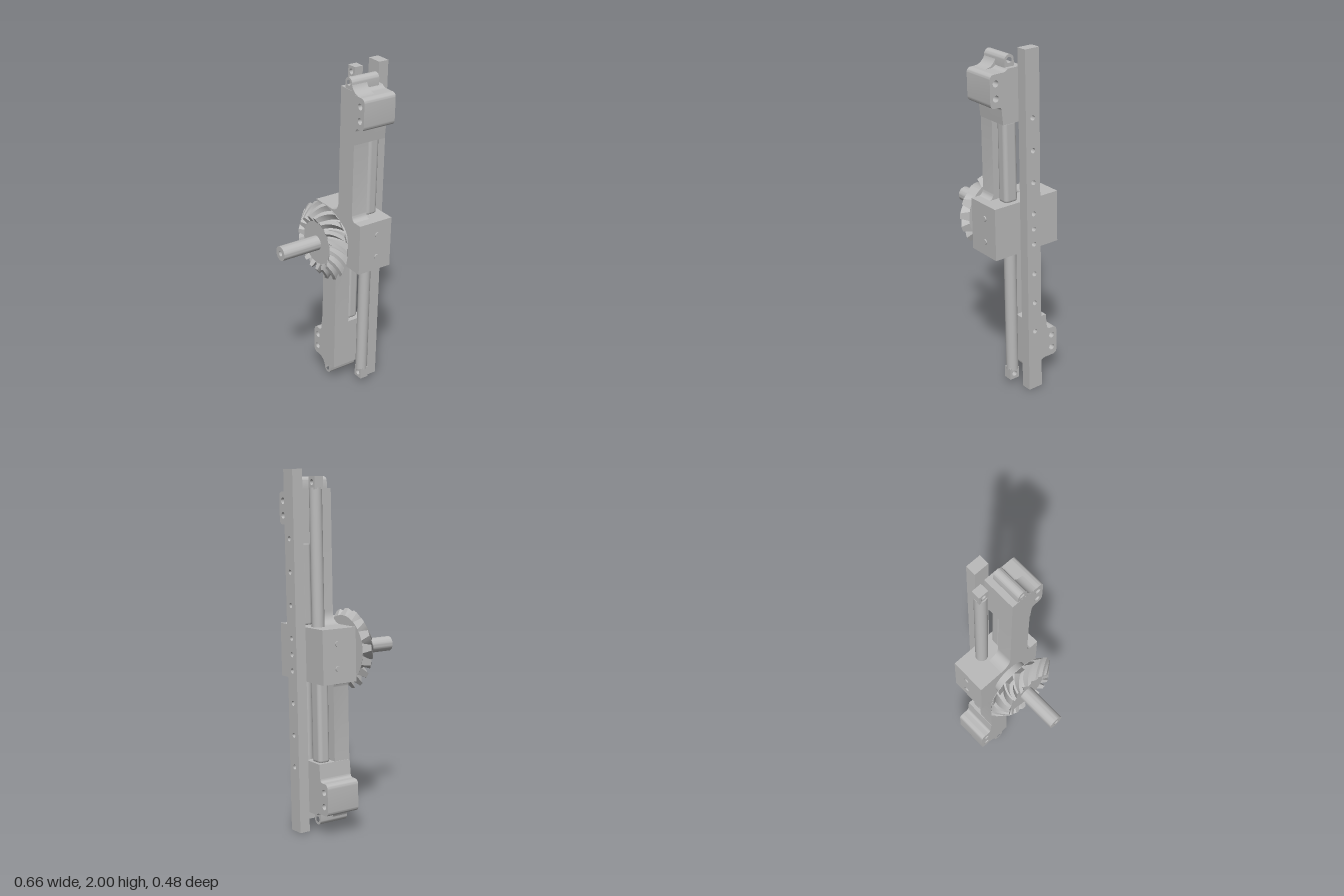
import * as THREE from 'three';
import { toCreasedNormals } from 'three/addons/utils/BufferGeometryUtils.js';
import { RoundedBoxGeometry } from 'three/addons/geometries/RoundedBoxGeometry.js';

const steel = new THREE.MeshStandardMaterial({ color: 0xbbbbbb });
steel.name = 'steel grey';

function add(parent, name, geometry, x = 0, y = 0, z = 0) {
  const mesh = new THREE.Mesh(geometry, steel);
  mesh.name = name;
  mesh.position.set(x, y, z);
  parent.add(mesh);
  return mesh;
}

// Side profile drawn in (-z, y), extruded along x from x0 to x1
function sideExtrude(shape, x0, x1) {
  const g = new THREE.ExtrudeGeometry(shape, { depth: x1 - x0, bevelEnabled: false, curveSegments: 10 });
  g.rotateY(Math.PI / 2).translate(x0, 0, 0);
  return toCreasedNormals(g, 0.6);
}

function punch(shape, u, y, r) {
  shape.holes.push(new THREE.Path().absarc(u, y, r, 0, Math.PI * 2, true));
}

// Revolve [x, radius] points about the x axis; the outer surface runs towards +x
function revolve(points, segments = 48) {
  const g = new THREE.LatheGeometry(points.map(([x, r]) => new THREE.Vector2(r, x)), segments);
  g.rotateZ(-Math.PI / 2);
  return toCreasedNormals(g, 0.5);
}

// One spiral bevel tooth, lofted from the small end to the large end
function toothGeometry() {
  const steps = 7, pos = [], idx = [];
  const mix = THREE.MathUtils.lerp;
  for (let k = 0; k <= steps; k++) {
    const t = k / steps, twist = 0.3 * t + 0.1 * t * t;
    const root = [mix(-0.09, -0.01, t), mix(0.125, 0.187, t)];
    const tip = [mix(-0.11, -0.045, t), mix(0.155, 0.228, t)];
    for (const [[x, r], a] of [[root, -0.15], [tip, -0.07], [tip, 0.07], [root, 0.15]])
      pos.push(x, r * Math.cos(a + twist), r * Math.sin(a + twist));
    if (k === 0) continue;
    for (let i = 0; i < 4; i++) {
      const j = (i + 1) % 4, p = (k - 1) * 4, q = k * 4;
      idx.push(p + i, p + j, q + j, p + i, q + j, q + i);
    }
  }
  const e = steps * 4;
  idx.push(0, 2, 1, 0, 3, 2, e, e + 1, e + 2, e, e + 2, e + 3);
  const g = new THREE.BufferGeometry();
  g.setAttribute('position', new THREE.Float32BufferAttribute(pos, 3));
  g.setIndex(idx);
  return toCreasedNormals(g, 0.5);
}

// One arm with its head, slide and the rod beside it
function createHalf(name) {
  const half = new THREE.Group();
  half.name = name;

  // Arm plate, flared where it meets the hub
  const plate = new THREE.Shape();
  plate.moveTo(-0.16, 0.14);
  plate.lineTo(0.06, 0.14);
  plate.lineTo(0.06, 0.15);
  plate.quadraticCurveTo(-0.005, 0.155, -0.005, 0.22);
  plate.lineTo(-0.005, 0.61);
  plate.lineTo(-0.133, 0.61);
  plate.lineTo(-0.133, 0.19);
  plate.quadraticCurveTo(-0.135, 0.155, -0.16, 0.15);
  add(half, 'armPlate', sideExtrude(plate, 0.05, 0.148));

  // Head with clamping lug
  const head = new THREE.Shape();
  head.moveTo(-0.005, 0.6);
  head.lineTo(-0.005, 0.895);
  head.lineTo(-0.1, 0.895);
  head.quadraticCurveTo(-0.11, 0.88, -0.135, 0.88);
  head.lineTo(-0.185, 0.88);
  head.quadraticCurveTo(-0.214, 0.88, -0.214, 0.85);
  head.lineTo(-0.214, 0.73);
  head.quadraticCurveTo(-0.214, 0.7, -0.185, 0.7);
  head.lineTo(-0.165, 0.7);
  head.quadraticCurveTo(-0.143, 0.7, -0.143, 0.675);
  head.lineTo(-0.136, 0.6);
  punch(head, -0.178, 0.83, 0.018);
  punch(head, -0.178, 0.75, 0.018);
  add(half, 'armHead', sideExtrude(head, 0.05, 0.253));

  // Eye on top of the head
  const eye = new THREE.Shape();
  eye.moveTo(-0.041, 0.89);
  eye.lineTo(-0.101, 0.89);
  eye.lineTo(-0.101, 0.93);
  eye.absarc(-0.071, 0.93, 0.03, Math.PI, 0, true);
  eye.lineTo(-0.041, 0.89);
  punch(eye, -0.071, 0.93, 0.016);
  add(half, 'headEye', sideExtrude(eye, 0.051, 0.227));

  // Concave saddle blending the eye into the lug
  const saddle = new THREE.Shape();
  saddle.moveTo(-0.095, 0.875);
  saddle.lineTo(-0.095, 0.945);
  saddle.quadraticCurveTo(-0.107, 0.885, -0.165, 0.88);
  saddle.lineTo(-0.165, 0.875);
  add(half, 'headSaddle', sideExtrude(saddle, 0.0505, 0.148));

  // Rounded slide between hub and head
  add(half, 'armSlide', new RoundedBoxGeometry(0.072, 0.47, 0.085, 3, 0.022), 0.2, 0.375, 0.075);

  // Rod and its flat end with a cross hole
  add(half, 'rod', new THREE.CylinderGeometry(0.035, 0.035, 0.77, 24), 0.199, 0.515, -0.07);
  const lug = new THREE.Shape();
  lug.moveTo(0.043, 0.89);
  lug.lineTo(0.103, 0.89);
  lug.lineTo(0.103, 0.96);
  lug.lineTo(0.043, 0.96);
  punch(lug, 0.074, 0.928, 0.016);
  add(half, 'rodEnd', sideExtrude(lug, 0.172, 0.225));

  // Low screw heads on the hub
  for (const y of [-0.068, 0.068])
    add(half, 'screwHead', new THREE.CylinderGeometry(0.016, 0.016, 0.012, 16).rotateX(Math.PI / 2), 0.17, y, 0.213);
  return half;
}

export function createModel() {
  const model = new THREE.Group();
  model.name = 'gearedArmAssembly';
  const body = new THREE.Group();
  body.name = 'tiltedAssembly';
  body.position.y = 1;
  body.rotation.x = 0.029;
  model.add(body);

  // Central hub
  add(body, 'hub', new THREE.BoxGeometry(0.215, 0.3, 0.424), 0.1575);

  // Two identical arms, half a turn apart
  const lower = createHalf('lowerArm');
  lower.rotation.x = Math.PI;
  body.add(createHalf('upperArm'), lower);

  // Long drilled bar
  const bar = new THREE.Shape();
  bar.moveTo(-0.045, -0.9988);
  bar.lineTo(0.045, -0.9988);
  bar.lineTo(0.045, 0.9988);
  bar.lineTo(-0.045, 0.9988);
  for (const y of [-0.63, -0.45, -0.27, -0.09, 0, 0.09, 0.27, 0.45, 0.63]) punch(bar, 0, y, 0.014);
  add(body, 'drilledBar', sideExtrude(bar, 0.265, 0.327));

  // Shaft with a hollow end, and collar
  add(body, 'shaft', revolve([[-0.29, 0], [-0.29, 0.016], [-0.33, 0.016], [-0.33, 0.042], [-0.08, 0.042]]));
  add(body, 'collar', new THREE.CylinderGeometry(0.105, 0.105, 0.07, 48).rotateZ(Math.PI / 2), 0.02);

  // Spiral bevel gear
  const gear = new THREE.Group();
  gear.name = 'bevelGear';
  body.add(gear);
  add(gear, 'gearCore', revolve([[-0.09, 0], [-0.09, 0.13], [-0.01, 0.19], [-0.01, 0]]));
  const tooth = toothGeometry(), teeth = 17;
  for (let i = 0; i < teeth; i++) add(gear, 'gearTooth', tooth).rotation.x = (i / teeth) * Math.PI * 2;
  return model;
}
